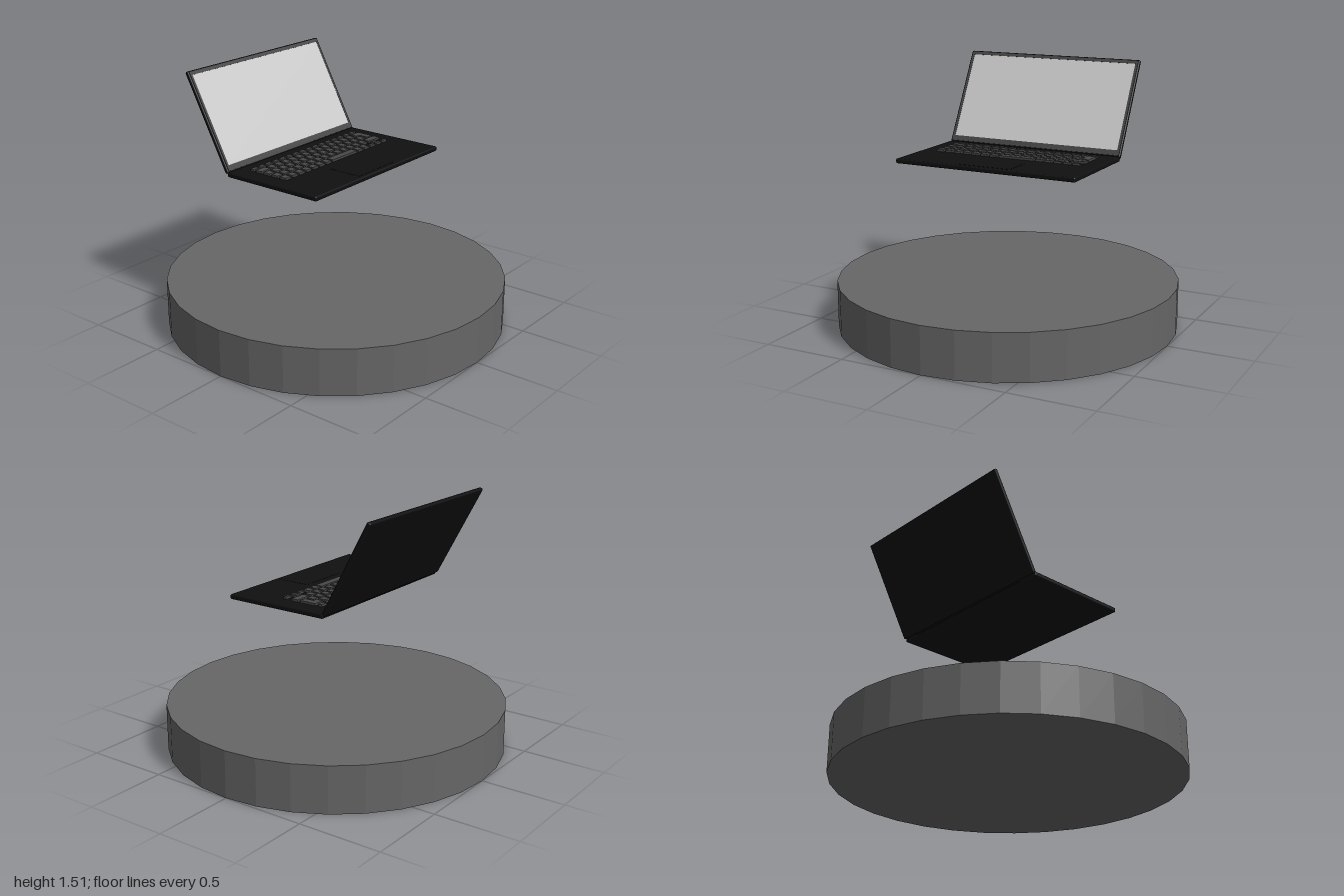
import * as THREE from 'three';
import { RoundedBoxGeometry } from 'three/addons/geometries/RoundedBoxGeometry.js';

const material = (color, extra = {}) => new THREE.MeshStandardMaterial({ color, ...extra });

function addMesh(parent, name, geometry, mat, x = 0, y = 0, z = 0) {
  const mesh = new THREE.Mesh(geometry, mat);
  mesh.name = name;
  mesh.position.set(x, y, z);
  parent.add(mesh);
  return mesh;
}

// Rectangle path centred on x, from y0 to y1
function rectangle(path, halfWidth, y0, y1) {
  path.moveTo(-halfWidth, y0);
  path.lineTo(halfWidth, y0);
  path.lineTo(halfWidth, y1);
  path.lineTo(-halfWidth, y1);
  path.closePath();
  return path;
}

export function createModel() {
  const model = new THREE.Group();
  model.name = 'laptopOnPedestal';
  const black = material(0x101010);
  const darkGrey = material(0x444444);
  const keyGrey = material(0x484848);
  const stone = material(0x666666, { flatShading: true });
  const screenGrey = material(0xcccccc);

  // Round faceted pedestal
  addMesh(model, 'pedestal', new THREE.CylinderGeometry(1, 1, 0.276, 32), stone, 0, 0.138, 0);

  // Keyboard half floating above the pedestal
  const base = new THREE.Group();
  base.name = 'base';
  model.add(base);
  addMesh(base, 'baseShell', new RoundedBoxGeometry(1.13, 0.028, 0.64, 2, 0.008), black, 0, 0.967, -0.003);
  addMesh(base, 'trackpad', new THREE.BoxGeometry(0.32, 0.002, 0.2), black, 0, 0.981, 0.19);

  // Keyboard: each key is placed by its left edge, back edge, width and depth
  const keyboard = new THREE.Group();
  keyboard.name = 'keyboard';
  base.add(keyboard);
  const pitch = 0.0588, size = 0.044, left = -0.465, right = 0.465;
  const addKey = (x, z, w = size, d = size) =>
    addMesh(keyboard, 'key', new THREE.BoxGeometry(w, 0.014, d), keyGrey, x + w / 2, 0.987, z + d / 2);
  const addRun = (x, z, count, d = size) => {
    for (let i = 0; i < count; i++) addKey(x + i * pitch, z, size, d);
  };
  const rowZ = [-0.24, -0.2, -0.141, -0.082, -0.023];

  // Function row
  addRun(left, rowZ[0], 16, 0.024);
  // Wide first key, then letters, then the stepped enter key
  addKey(left, rowZ[1], 0.074);
  addRun(left + 0.09, rowZ[1], 13);
  addKey(right - 0.07, rowZ[1], 0.07);
  addRun(left, rowZ[2], 15);
  addKey(right - size, rowZ[1] + size, size, 0.059);
  // Lower letters with a wide right key
  addRun(left, rowZ[3], 14);
  addKey(right - 0.103, rowZ[3], 0.103);
  // Bottom row with space bar and half-height arrows
  addRun(left, rowZ[4], 7);
  addKey(left + 7 * pitch, rowZ[4], 0.223);
  addRun(left + 11 * pitch, rowZ[4], 2);
  addRun(left + 13 * pitch, rowZ[4] + 0.025, 3, 0.019);
  addKey(left + 14 * pitch, rowZ[4], size, 0.019);

  // Screen half, leaning back from the hinge
  const lid = new THREE.Group();
  lid.name = 'lid';
  lid.position.set(0, 0.972, -0.325);
  lid.rotation.x = -THREE.MathUtils.degToRad(28.4);
  model.add(lid);
  addMesh(lid, 'lidShell', new RoundedBoxGeometry(1.13, 0.61, 0.024, 2, 0.008), black, 0, 0.305, -0.001);

  // Bezel frame around the screen
  const frame = rectangle(new THREE.Shape(), 0.556, 0.01, 0.602);
  frame.holes.push(rectangle(new THREE.Path(), 0.541, 0.042, 0.583));
  addMesh(lid, 'bezel', new THREE.ExtrudeGeometry(frame, { depth: 0.004, bevelEnabled: false }),
    darkGrey, 0, 0, 0.01);
  addMesh(lid, 'screen', new THREE.BoxGeometry(1.082, 0.541, 0.002), screenGrey, 0, 0.3125, 0.0115);

  // Hinge barrel across the back edge
  const hinge = addMesh(model, 'hinge', new THREE.CylinderGeometry(0.009, 0.009, 0.9, 12), black, 0, 0.972, -0.323);
  hinge.rotation.z = Math.PI / 2;

  return model;
}
